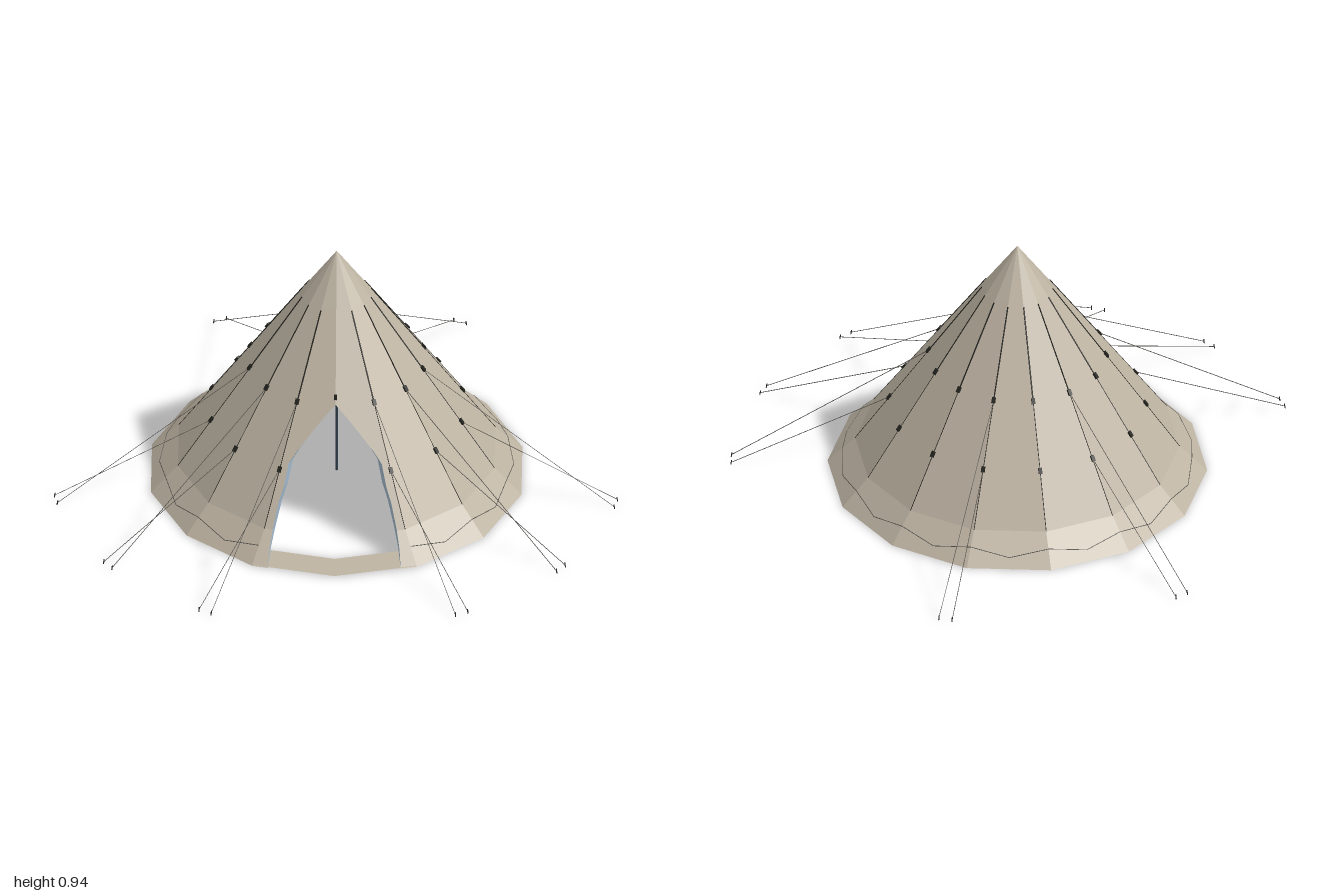
import * as THREE from 'three';
import { mergeGeometries } from 'three/addons/utils/BufferGeometryUtils.js';

const SIDES = 14, STEP = (Math.PI * 2) / SIDES;
const V = (x, y, z) => new THREE.Vector3(x, y, z);

// wall radius at a height: flared skirt below 0.1, straight wall above
const radius = (y) => (y < 0.1 ? 0.673 - y * 0.98 : 0.575 - ((y - 0.1) * 0.457) / 0.67);
const onSeam = (i, y, out = 0) => {
  const r = radius(y) + out;
  return V(Math.sin(i * STEP) * r, y, Math.cos(i * STEP) * r);
};

// door outline: [height, half width]
const DOOR = [[0, 0.235], [0.05, 0.23], [0.1, 0.22], [0.18, 0.2], [0.23, 0.182], [0.3, 0.165],
  [0.34, 0.135], [0.39, 0.092], [0.44, 0.048], [0.49, 0]];
const doorEdge = (y, x, side) => {
  const t = x / onSeam(1, y).x;
  const p = onSeam(0, y).lerp(onSeam(1, y), t);
  p.x *= side;
  return p;
};

// flat-shaded skin between two matching rows of points
function skin(a, b, flip) {
  const pos = [];
  const tri = (p, q, r) => (flip ? [p, r, q] : [p, q, r]).forEach((v) => pos.push(v.x, v.y, v.z));
  for (let i = 0; i < a.length - 1; i++) {
    tri(a[i], b[i], b[i + 1]);
    tri(a[i], b[i + 1], a[i + 1]);
  }
  const g = new THREE.BufferGeometry();
  g.setAttribute('position', new THREE.Float32BufferAttribute(pos, 3));
  g.computeVertexNormals();
  return g;
}

// thin straight rod between two points
function rod(a, b, r, sides = 5) {
  const d = b.clone().sub(a);
  const g = new THREE.CylinderGeometry(r, r, d.length(), sides);
  g.applyQuaternion(new THREE.Quaternion().setFromUnitVectors(V(0, 1, 0), d.normalize()));
  const m = a.clone().add(b).multiplyScalar(0.5);
  return g.translate(m.x, m.y, m.z);
}

// all cloth panels; the lining is the same skin facing inward
function cloth(inside) {
  const parts = [];
  const shift = inside ? -0.002 : 0;
  const levels = [0, 0.1, 0.77];
  for (let i = 1; i < SIDES - 1; i++) {
    parts.push(skin(levels.map((y) => onSeam(i, y, shift)), levels.map((y) => onSeam(i + 1, y, shift)), inside));
  }
  // two front panels cut away around the door
  for (const s of [1, -1]) {
    const rows = [...DOOR, [0.77, 0]];
    const edge = rows.map(([y, x]) => doorEdge(y, x, s));
    const seam = rows.map(([y]) => onSeam(s, y));
    if (inside) [...edge, ...seam].forEach((p) => { p.z -= 0.002; });
    parts.push(skin(edge, seam, (s < 0) !== inside));
  }
  return mergeGeometries(parts);
}

function capSkin(inside) {
  const ring = [], tip = [];
  const r = inside ? 0.12 : 0.124;
  for (let i = 0; i <= SIDES; i++) {
    ring.push(V(Math.sin(i * STEP) * r, 0.76, Math.cos(i * STEP) * r));
    tip.push(V(0, inside ? 0.935 : 0.94, 0));
  }
  return skin(ring, tip, !inside);
}

export function createModel() {
  const mat = (name, color, extra = {}) => {
    const m = new THREE.MeshStandardMaterial({ color, ...extra });
    m.name = name;
    return m;
  };
  const canvas = mat('canvas', 0xbdb3a2, { side: THREE.DoubleSide });
  const outer = canvas;
  const lining = mat('brown lining', 0x7d5f40);
  const trim = mat('pale blue door trim', 0x9db4c8, { side: THREE.DoubleSide });
  const dark = mat('dark stitching', 0x23231f);
  const steel = mat('slate pole', 0x2f3c4c);
  const cord = mat('grey cord', 0x55534e);
  outer.side = THREE.FrontSide;

  const model = new THREE.Group();
  model.name = 'bellTent';
  const add = (name, geo, material) => {
    const m = new THREE.Mesh(geo, material);
    m.name = name;
    model.add(m);
  };

  add('tentWall', cloth(false), outer);
  add('wallLining', cloth(true), lining);
  add('topCap', capSkin(false), outer);
  add('capLining', capSkin(true), lining);

  // flat ground strip across the doorway, with a top and an underside
  const flat = (i, r, y) => V(Math.sin(i * STEP) * r, y, Math.cos(i * STEP) * r);
  const span = [-1, 0, 1];
  const sill = [0.004, 0].map((y, k) =>
    skin(span.map((i) => flat(i, 0.565, y)), span.map((i) => flat(i, 0.673, y)), k === 1));
  add('doorSill', mergeGeometries(sill), outer);

  // folded trim turning inward along both door edges
  for (const s of [1, -1]) {
    const edge = DOOR.map(([y, x]) => doorEdge(y, x, s));
    const inner = edge.map((p, i) => {
      const w = Math.sin((i / (DOOR.length - 1)) * Math.PI);
      return V(p.x - s * 0.016 * w, p.y, p.z - 0.012 - 0.022 * w);
    });
    add(s > 0 ? 'leftDoorTrim' : 'rightDoorTrim', skin(edge, inner, s > 0), trim);
  }

  add('centrePole', rod(V(0, 0, 0), V(0, 0.93, 0), 0.005, 8), steel);

  // seams, clips and hem stitching
  const seams = [], clips = [], hem = [];
  for (let i = 1; i < SIDES; i++) {
    seams.push(rod(onSeam(i, 0.76), onSeam(i, 0.48), 0.0026));
    seams.push(rod(onSeam(i, 0.48), onSeam(i, 0.1), 0.0014));
    for (const y of [0.485, 0.28]) {
      const c = new THREE.BoxGeometry(0.013, 0.022, 0.008);
      c.rotateX(-0.6).rotateY(i * STEP);
      const p = onSeam(i, y, 0.003);
      clips.push(c.translate(p.x, p.y, p.z));
    }
    if (i < SIDES - 1) {
      const a = onSeam(i, 0.055), b = onSeam(i + 1, 0.055);
      const mid = onSeam(i, 0.03).lerp(onSeam(i + 1, 0.03), 0.5);
      hem.push(rod(a, mid, 0.0014), rod(mid, b, 0.0014));
    }
  }
  clips.push(new THREE.BoxGeometry(0.01, 0.025, 0.008).translate(0, 0.51, radius(0.51)));
  add('seams', mergeGeometries(seams), dark);
  add('clips', mergeGeometries(clips), dark);
  add('hemStitching', mergeGeometries(hem), cord);

  // guy ropes: an upper and a lower one on each anchored seam
  const ropes = [], pegs = [];
  for (const s of [1, -1]) {
    for (const [i, turn] of [[1, 1], [2, 1], [3, 1], [6, 1]]) {
      for (const [y, offset] of [[0.485, -0.008], [0.28, 0.04]]) {
        const a = s * (i * STEP + turn * offset);
        const end = V(Math.sin(a) * 1.015, 0.008, Math.cos(a) * 1.015);
        ropes.push(rod(onSeam(s * i, y), end, 0.0013, 4));
        pegs.push(rod(V(end.x, 0, end.z), V(end.x * 0.997, 0.018, end.z * 0.997), 0.002, 4));
      }
    }
  }
  add('guyRopes', mergeGeometries(ropes), cord);
  add('pegs', mergeGeometries(pegs), dark);
  return model;
}
